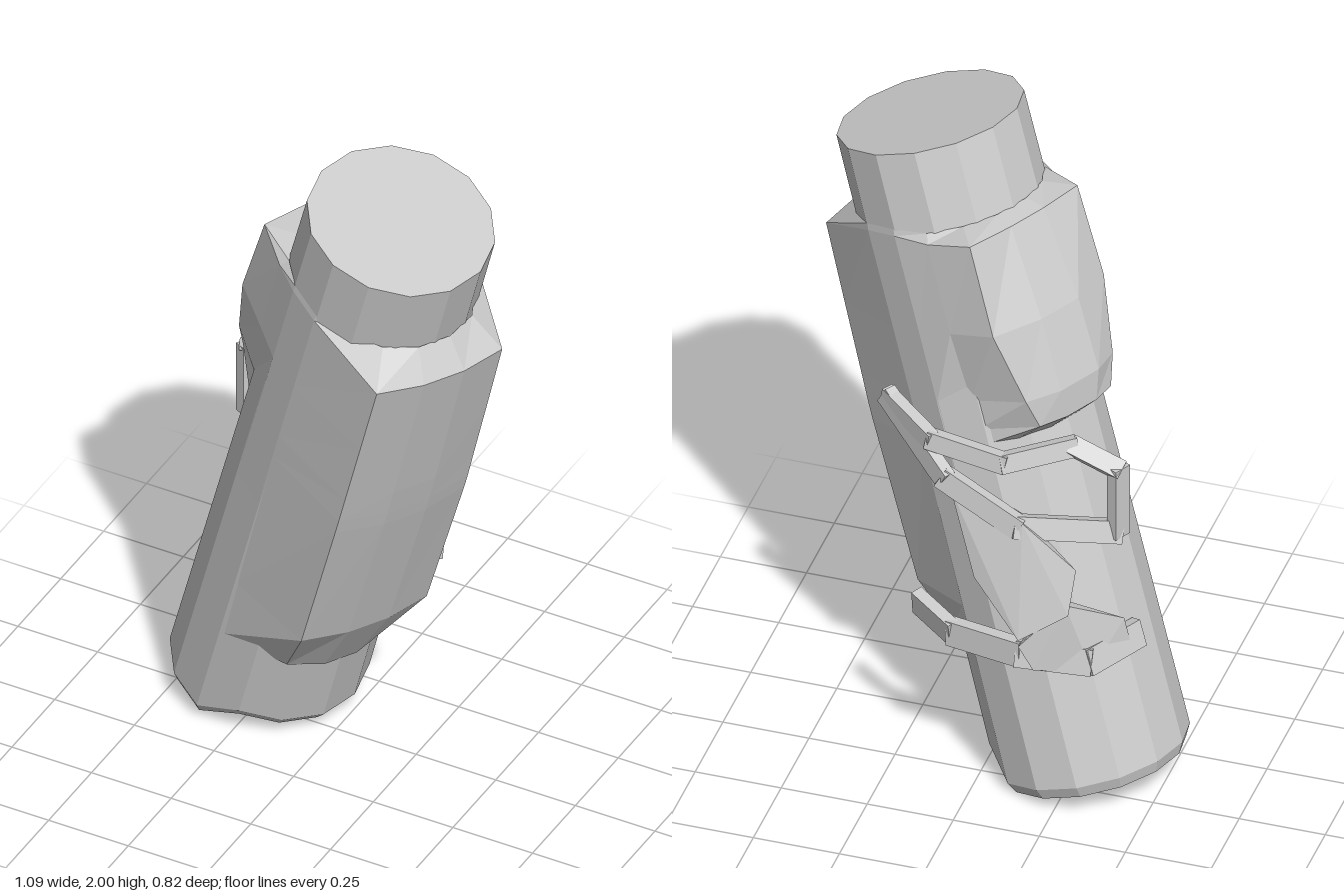
import * as THREE from 'three';
import { ConvexGeometry } from 'three/addons/geometries/ConvexGeometry.js';

const V = (x, y, z) => new THREE.Vector3(x, y, z);
const rad = THREE.MathUtils.degToRad;
const AXIS = V(0.281, 0.952, 0.123).normalize();
const ORIGIN = V(-0.282, 0.06, -0.121);
const FACE = 29; // direction (degrees from +x towards +z) of the front bulge
const material = new THREE.MeshStandardMaterial({ color: 0xcccccc, flatShading: true });

// point on a cross-section: angle in degrees from the front bulge, radius, height along the axis
const polar = (deg, r, t) => V(r * Math.cos(rad(FACE + deg)), t, r * Math.sin(rad(FACE + deg)));

// joins closed rings of equal point count into a skin
function loft(rings) {
  const n = rings[0].length;
  const index = [];
  for (let i = 0; i < rings.length - 1; i++) {
    for (let j = 0; j < n; j++) {
      const k = (j + 1) % n;
      const a = i * n + j, b = i * n + k, c = a + n, d = b + n;
      index.push(a, c, b, b, c, d);
    }
  }
  const g = new THREE.BufferGeometry().setFromPoints(rings.flat());
  g.setIndex(index);
  const flat = g.toNonIndexed();
  flat.computeVertexNormals();
  return flat;
}

function add(parent, name, geometry) {
  const mesh = new THREE.Mesh(geometry, material);
  mesh.name = name;
  parent.add(mesh);
  return mesh;
}

// main tube: recessed floor, inner wall, notched rim, outer wall, top cap
function tubeGeometry() {
  const profile = [[0, 0.3, 0], [0.21, 0.3, 0], [0.215, 0.0, 1], [0.257, -0.005, 1],
    [0.276, 0.03, 1], [0.267, 1.954, 0], [0, 1.954, 0]];
  return loft(profile.map(([r, t, wave]) => Array.from({ length: 14 }, (_, j) => {
    const offset = j * 360 / 14;
    const fromFace = Math.min(offset, 360 - offset);
    const drop = fromFace < 60 ? 0.045 : -0.035;
    return polar(offset, r, t + wave * drop);
  })));
}

// mirrored ring of the housing: front edge, flat side, then back bulge
function housingRing({ t, side = t, back = t, front = 0.35, corner = 0.38, flank = 0.271,
  flare = 0.26, backCorner = [146, 0.26], backMid = [168, 0.26] }) {
  const half = [[11, front, t], [33, corner, t], [78, flank, side], [102, flank, side],
    [124, flare, back], [...backCorner, back], [...backMid, back]];
  return [...half.map(([a, r, h]) => polar(a, r, h)),
    ...half.reverse().map(([a, r, h]) => polar(-a, r, h))];
}

function housingGeometry() {
  return loft([
    { t: 0.325, side: 0.31, front: 0.281, corner: 0.281 },
    { t: 0.553, side: 0.54 },
    { t: 1.05, front: 0.362, corner: 0.391 },
    { t: 1.1, front: 0.362, corner: 0.391, backCorner: [157, 0.345], backMid: [171, 0.35] },
    { t: 1.19, front: 0.361, corner: 0.389, backCorner: [153, 0.363], backMid: [169, 0.375] },
    { t: 1.41, front: 0.356, corner: 0.385, flare: 0.291, backCorner: [146, 0.376], backMid: [169, 0.368] },
    { t: 1.655, side: 1.705, back: 1.685, flare: 0.29, backCorner: [146, 0.366], backMid: [169, 0.325] },
    { t: 1.728, side: 1.725, back: 1.71, front: 0.27, corner: 0.27, flank: 0.268, flare: 0.268,
      backCorner: [146, 0.268], backMid: [168, 0.268] },
  ].map(housingRing));
}

// outward direction from the tube axis
function outward(p) {
  const d = p.clone().sub(ORIGIN);
  return d.addScaledVector(AXIS, -d.dot(AXIS)).normalize();
}

// chain of flat bars through the points
function addStrap(parent, name, points, width = 0.055, depth = 0.035) {
  const strap = new THREE.Group();
  strap.name = name;
  for (let i = 0; i < points.length - 1; i++) {
    const a = points[i], b = points[i + 1];
    const bar = add(strap, 'strapBar', new THREE.BoxGeometry(width, depth, a.distanceTo(b) + 0.02));
    bar.position.copy(a).lerp(b, 0.5);
    bar.up.copy(outward(bar.position));
    bar.lookAt(b);
  }
  parent.add(strap);
}

// faceted plate following the tube, thickened inwards
function addPlate(parent, name, points, thickness) {
  const inner = points.map((p) => p.clone().addScaledVector(outward(p), -thickness));
  add(parent, name, new ConvexGeometry([...points, ...inner]));
}

export function createModel() {
  const model = new THREE.Group();
  model.name = 'strappedTube';

  // leaning body
  const body = new THREE.Group();
  body.name = 'body';
  body.position.copy(ORIGIN);
  body.quaternion.setFromUnitVectors(V(0, 1, 0), AXIS);
  model.add(body);
  add(body, 'tube', tubeGeometry());
  add(body, 'housing', housingGeometry());

  // harness on the back
  const harness = new THREE.Group();
  harness.name = 'harness';
  model.add(harness);
  const hook = V(0.285, 1.175, -0.205);
  const gripTop = V(-0.38, 1.06, -0.19), gripBottom = V(-0.38, 0.85, -0.19);
  addStrap(harness, 'upperStrap', [hook, V(0.13, 1.13, -0.305), V(-0.08, 1.09, -0.3),
    V(-0.25, 1.11, -0.19), gripTop]);
  addStrap(harness, 'grip', [gripTop, gripBottom]);
  addStrap(harness, 'diagonalStrap', [hook, V(0.08, 1.03, -0.335), V(-0.13, 0.91, -0.335), gripBottom], 0.065);
  addStrap(harness, 'lowerStrap', [V(0.18, 0.53, -0.25), V(0.06, 0.51, -0.33), V(-0.15, 0.515, -0.375),
    V(-0.34, 0.5, -0.335), V(-0.43, 0.51, -0.18)], 0.08);
  addPlate(harness, 'backPlate', [V(0.06, 1.0, -0.34), V(-0.15, 0.93, -0.345), V(-0.3, 0.79, -0.325),
    V(-0.29, 0.66, -0.365), V(-0.16, 0.58, -0.412), V(-0.02, 0.74, -0.375)], 0.07);
  addPlate(harness, 'lowerGusset', [V(-0.28, 0.69, -0.36), V(-0.16, 0.56, -0.412),
    V(-0.41, 0.59, -0.23), V(-0.43, 0.48, -0.22), V(-0.35, 0.47, -0.34), V(-0.2, 0.48, -0.4)], 0.05);

  return model;
}
